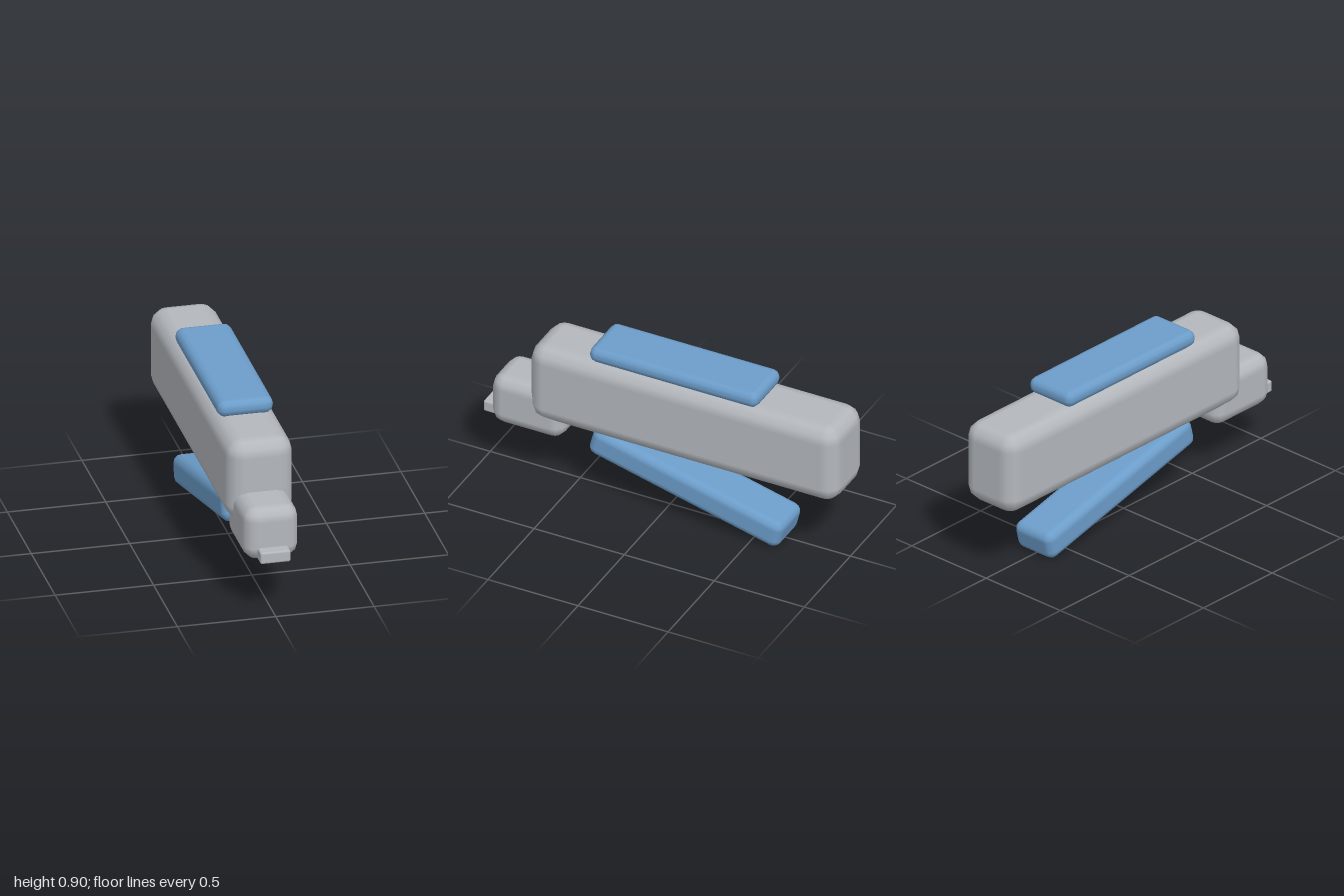
import * as THREE from 'three';

// Box with rounded edges: a sphere pulled apart into eight corners,
// three facets per quarter turn, smooth normals.
function roundedBox(width, height, depth, r) {
  const cols = 16, rows = 9, quarter = Math.PI / 2;
  const geo = new THREE.SphereGeometry(1, cols, rows);
  const pos = geo.attributes.position, nor = geo.attributes.normal;
  const hx = width / 2 - r, hy = height / 2 - r, hz = depth / 2 - r;
  for (let j = 0; j <= rows; j++) {
    const cap = j === 0 || j === rows; // centres of the top and bottom faces
    const lower = j >= 5;
    const polar = j === 0 ? 0 : j === rows ? Math.PI
      : (lower ? 1 + (j - 5) / 3 : (j - 1) / 3) * quarter;
    for (let i = 0; i <= cols; i++) {
      const n = j * (cols + 1) + i;
      const k = Math.floor(i / 4) % 4;
      const a = (k + (i % 4) / 3) * quarter;
      const mid = (k + 0.5) * quarter;
      const nx = -Math.cos(a) * Math.sin(polar);
      const ny = Math.cos(polar);
      const nz = Math.sin(a) * Math.sin(polar);
      const sx = cap ? 0 : -Math.sign(Math.cos(mid));
      const sz = cap ? 0 : Math.sign(Math.sin(mid));
      pos.setXYZ(n, nx * r + sx * hx, ny * r + (lower ? -hy : hy), nz * r + sz * hz);
      nor.setXYZ(n, nx, ny, nz);
    }
  }
  return geo;
}

export function createModel() {
  const grey = new THREE.MeshStandardMaterial({ color: 0xb4b8bd });
  grey.name = 'light grey';
  const blue = new THREE.MeshStandardMaterial({ color: 0x6c9dca });
  blue.name = 'soft blue';

  const model = new THREE.Group();
  model.name = 'model';

  function part(name, material, [w, h, d], r, [x, y, z], tilt = 0) {
    const mesh = new THREE.Mesh(roundedBox(w, h, d, r), material);
    mesh.name = name;
    mesh.position.set(x, y, z);
    mesh.rotation.x = tilt;
    model.add(mesh);
  }

  // Long main body
  part('body', grey, [0.34, 0.436, 1.717], 0.086, [0, 0.604, -0.1415]);
  // Nose block and the small tip in front of it
  part('nose', grey, [0.28, 0.28, 0.405], 0.07, [0, 0.417, 0.7375]);
  part('tip', grey, [0.154, 0.062, 0.12], 0.01, [0, 0.324, 0.94]);
  // Flat pad on top
  part('topPad', blue, [0.286, 0.086, 0.937], 0.04, [0, 0.857, -0.08]);
  // Lever underneath, sloping down to the back
  part('lowerLever', blue, [0.25, 0.155, 1.09], 0.045, [0, 0.199, -0.137],
    THREE.MathUtils.degToRad(-14));

  return model;
}
